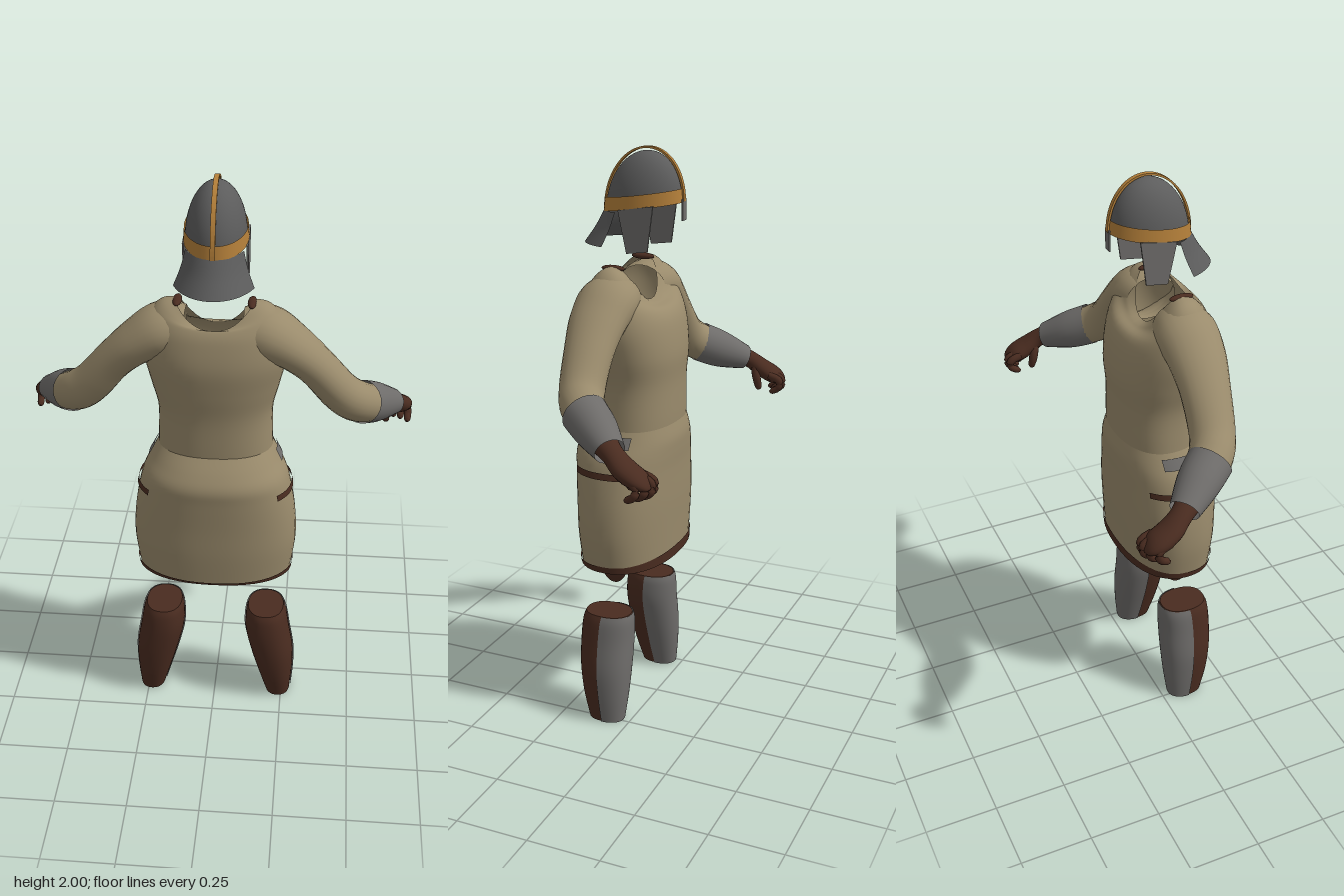
import * as THREE from 'three';

const { PI } = Math;
const paint = (name, color) => {
  const m = new THREE.MeshStandardMaterial({ color, side: THREE.DoubleSide });
  m.name = name;
  return m;
};
const cloth = paint('tan cloth', 0x9a8b6c);
const leather = paint('brown leather', 0x4a2c20);
const steel = paint('grey steel', 0x6e6c6a);
const darkSteel = paint('dark steel', 0x5c5c5c);
const brass = paint('brass', 0xb5803a);

function add(parent, name, geometry, material) {
  const mesh = new THREE.Mesh(geometry, material);
  mesh.name = name;
  parent.add(mesh);
  return mesh;
}

// Catmull-Rom through rows of numbers, n steps per span
function spline(keys, n) {
  const out = [], last = keys.length - 1;
  const at = (i, k) => keys[Math.min(last, Math.max(0, i))][k] ?? 0;
  for (let s = 0; s <= last * n; s++) {
    const i = Math.min(last - 1, Math.floor(s / n)), t = s / n - i;
    out.push(Array.from({ length: 7 }, (_, k) => {
      const [a, b, c, d] = [at(i - 1, k), at(i, k), at(i + 1, k), at(i + 2, k)];
      return b + 0.5 * t * (c - a + t * (2 * a - 5 * b + 4 * c - d + t * (3 * (b - c) + d - a)));
    }));
  }
  return out;
}

// Surface through rows of points
function skin(rows, closed) {
  const w = rows[0].length, index = [];
  for (let i = 0; i < rows.length - 1; i++) {
    for (let j = 0; j < (closed ? w : w - 1); j++) {
      const k = (j + 1) % w, a = i * w, b = a + w;
      index.push(a + j, a + k, b + k, a + j, b + k, b + j);
    }
  }
  const g = new THREE.BufferGeometry().setFromPoints(rows.flat());
  g.setIndex(index);
  g.computeVertexNormals();
  return g;
}

// Upright loft. Key: y, half width, z front, z back, y shift front, y shift back, centre x
function loft(keys, { from = 0, to = 2 * PI, grow = 0, e = 0.88, n = 5, seg = 48, caps = false } = {}) {
  const closed = to - from > 6.28;
  const pw = v => Math.sign(v) * Math.abs(v) ** e;
  const rows = spline(keys, n).map(([y, hx, zf, zb, df, db, cx]) =>
    Array.from({ length: closed ? seg : seg + 1 }, (_, j) => {
      const a = from + (to - from) * j / seg, s = Math.sin(a), c = Math.cos(a);
      return new THREE.Vector3(cx + (hx + grow) * pw(s), y + (c > 0 ? df : db) * c * c,
        (zf + zb) / 2 + ((zf - zb) / 2 + grow) * pw(c));
    }));
  if (caps) {
    const centre = r => r.map(() => r.reduce((s, p) => s.add(p), new THREE.Vector3()).divideScalar(r.length));
    const first = rows[0], end = rows[rows.length - 1];
    rows.unshift(centre(first), first.map(p => p.clone()));
    rows.push(end.map(p => p.clone()), centre(end).map(p => p.clone()));
  }
  return skin(rows, closed);
}

// Tapered limb. Key: x, y, z, radius up, radius sideways
function limb(keys, seg = 24, n = 5) {
  const path = spline(keys, n), pos = path.map(p => new THREE.Vector3(p[0], p[1], p[2]));
  return skin(path.map((p, i) => {
    const t = pos[Math.min(i + 1, pos.length - 1)].clone().sub(pos[Math.max(0, i - 1)]).normalize();
    const side = t.clone().cross(new THREE.Vector3(0, 1, 0)).normalize();
    const up = side.clone().cross(t);
    return Array.from({ length: seg }, (_, j) => {
      const a = 2 * PI * j / seg;
      return pos[i].clone().addScaledVector(side, p[4] * Math.cos(a)).addScaledVector(up, p[3] * Math.sin(a));
    });
  }), true);
}

function ellipsoid(x, y, z, rx, ry, rz) {
  return new THREE.SphereGeometry(1, 24, 16).scale(rx, ry, rz).translate(x, y, z);
}

// Outline in the z-y plane, given a thickness across x
function sidePlate(points, depth, x) {
  const shape = new THREE.Shape(points.map(p => new THREE.Vector2(...p)));
  return new THREE.ExtrudeGeometry(shape, { depth, bevelEnabled: false })
    .translate(0, 0, -depth / 2).rotateY(-PI / 2).translate(x, 0, 0);
}

function helmet() {
  const g = new THREE.Group();
  g.name = 'helmet';
  // lean the bowl so the rim rises towards the face
  const lean = new THREE.Matrix4().set(1, 0, 0, 0, 0, 1, -0.14, 1.807, 0, 0, 1, 0.045, 0, 0, 0, 1);
  lean.premultiply(new THREE.Matrix4());
  add(g, 'bowl', new THREE.SphereGeometry(1, 48, 20, 0, 2 * PI, 0, PI / 2)
    .scale(0.099, 0.178, 0.132).applyMatrix4(lean), darkSteel);
  add(g, 'browBand', new THREE.CylinderGeometry(0.97, 1, 0.045, 48, 1, true)
    .scale(0.104, 1, 0.141).translate(0, 0.02, 0).applyMatrix4(lean), brass);
  const arc = (rz, ry) => Array.from({ length: 41 }, (_, i) => [rz * Math.cos(PI * i / 40), ry * Math.sin(PI * i / 40)]);
  add(g, 'crestStrip', sidePlate([...arc(0.145, 0.192), ...arc(0.138, 0.185).reverse()], 0.016, 0)
    .applyMatrix4(lean), brass);
  add(g, 'neckGuard', loft([[1.68, 0.145, 0.255, -0.165, 0, 0.08], [1.735, 0.12, 0.215, -0.125], [1.79, 0.104, 0.184, -0.094]],
    { from: -1.08, to: 1.08, e: 1, seg: 24 }), darkSteel);
  for (const s of [-1, 1]) {
    add(g, 'cheekGuard', sidePlate([[0.095, 1.80], [0.065, 1.66], [-0.01, 1.67], [-0.03, 1.82]], 0.006, s * 0.101), steel);
  }
  add(g, 'noseGuard', new THREE.BoxGeometry(0.03, 0.07, 0.005).translate(0, 1.80, -0.096), steel);
  return g;
}

function tunic() {
  const g = new THREE.Group();
  g.name = 'tunic';
  add(g, 'tunicBody', loft([
    [1.0, 0.2, 0.2, -0.08], [1.1, 0.195, 0.205, -0.085], [1.22, 0.193, 0.21, -0.085], [1.32, 0.215, 0.225, -0.09],
    [1.42, 0.235, 0.235, -0.075], [1.51, 0.23, 0.222, -0.05, 0, -0.04], [1.575, 0.205, 0.205, -0.015, -0.025, -0.09],
    [1.61, 0.17, 0.195, 0, -0.06, -0.12], [1.62, 0.125, 0.185, 0.02, -0.075, -0.125]]), cloth);
  add(g, 'tunicSkirt', loft([
    [0.585, 0.27, 0.24, -0.08], [0.7, 0.284, 0.25, -0.085], [0.81, 0.28, 0.255, -0.09], [0.92, 0.262, 0.262, -0.092],
    [0.98, 0.245, 0.264, -0.095], [1.03, 0.218, 0.24, -0.095], [1.08, 0.193, 0.204, -0.084]]), cloth);
  add(g, 'hemBand', loft([[0.582, 0.27, 0.24, -0.08], [0.605, 0.273, 0.242, -0.081, -0.014, 0.015]], { grow: 0.004 }), leather);
  return g;
}

// Everything that comes in pairs, made for +x
function side() {
  const g = new THREE.Group();
  add(g, 'sleeve', limb([
    [0.1, 1.505, 0.1, 0.08, 0.09], [0.17, 1.505, 0.1, 0.088, 0.105], [0.25, 1.46, 0.1, 0.074, 0.097],
    [0.33, 1.388, 0.092, 0.066, 0.083], [0.41, 1.292, 0.078, 0.068, 0.075], [0.46, 1.245, 0.055, 0.07, 0.073],
    [0.505, 1.21, 0.01, 0.066, 0.07]]), cloth);
  add(g, 'forearmGuard', limb([[0.487, 1.227, 0.035, 0.073, 0.076], [0.535, 1.193, -0.03, 0.068, 0.07],
    [0.597, 1.155, -0.105, 0.045, 0.05]]), steel);
  add(g, 'hand', limb([[0.57, 1.172, -0.07, 0.042, 0.045], [0.605, 1.148, -0.12, 0.032, 0.037],
    [0.622, 1.115, -0.165, 0.033, 0.046], [0.627, 1.088, -0.215, 0.029, 0.048], [0.624, 1.07, -0.245, 0.012, 0.03],
    [0.623, 1.066, -0.25, 0.001, 0.001]]), leather);
  for (let i = 0; i < 4; i++) {
    const x = 0.585 + i * 0.024, z = [-0.238, -0.24, -0.228, -0.208][i];
    add(g, 'finger', limb([[x, 1.095, z + 0.03, 0.014, 0.014], [x + 0.004, 1.08, z - 0.008, 0.015, 0.014],
      [x + 0.007, 1.05, z - 0.008, 0.013, 0.013], [x + 0.005, 1.034, z + 0.018, 0.011, 0.011],
      [x + 0.004, 1.034, z + 0.028, 0.001, 0.001]], 10, 3), leather);
  }
  add(g, 'thumb', limb([[0.592, 1.12, -0.15, 0.016, 0.016], [0.582, 1.085, -0.16, 0.016, 0.016],
    [0.585, 1.045, -0.168, 0.012, 0.012], [0.586, 1.035, -0.17, 0.001, 0.001]], 10, 3), leather);

  // neck and hip trim
  add(g, 'collarTrim', ellipsoid(0.12, 1.612, 0.105, 0.015, 0.011, 0.042), leather);
  add(g, 'hipStrap', loft([[0.92, 0.262, 0.262, -0.092], [0.942, 0.257, 0.263, -0.093]],
    { from: 0.93, to: 2.28, grow: 0.007, seg: 16 }), leather);
  add(g, 'hipPlate', loft([[1.02, 0.224, 0.243, -0.095], [1.058, 0.203, 0.22, -0.09]],
    { from: 1.45, to: 1.9, grow: 0.006, seg: 8 }), steel);
  add(g, 'thighFlap', ellipsoid(0.22, 0.605, 0.065, 0.014, 0.075, 0.05), leather);

  // lower leg with a steel plate on the face side
  const shin = [[0.005, 0.045, 0.155, 0.03, 0, 0, 0.237], [0.1, 0.062, 0.18, 0.02, 0, 0, 0.227],
    [0.2, 0.076, 0.195, 0.015, 0, 0, 0.213], [0.3, 0.079, 0.2, 0.015, 0, 0, 0.194],
    [0.37, 0.073, 0.195, 0.015, 0, 0, 0.188], [0.4, 0.064, 0.185, 0.02, 0, 0, 0.186]];
  add(g, 'legWrap', loft(shin, { caps: true, seg: 32 }), leather);
  add(g, 'shinPlate', loft(shin, { from: PI / 2, to: 1.5 * PI, grow: 0.004, seg: 20 }), steel);
  return g;
}

export function createModel() {
  const model = new THREE.Group();
  model.name = 'armourOutfit';
  const left = side(), right = side();
  left.name = 'leftSide';
  right.name = 'rightSide';
  right.scale.x = -1;
  model.add(helmet(), tunic(), left, right);
  return model;
}
